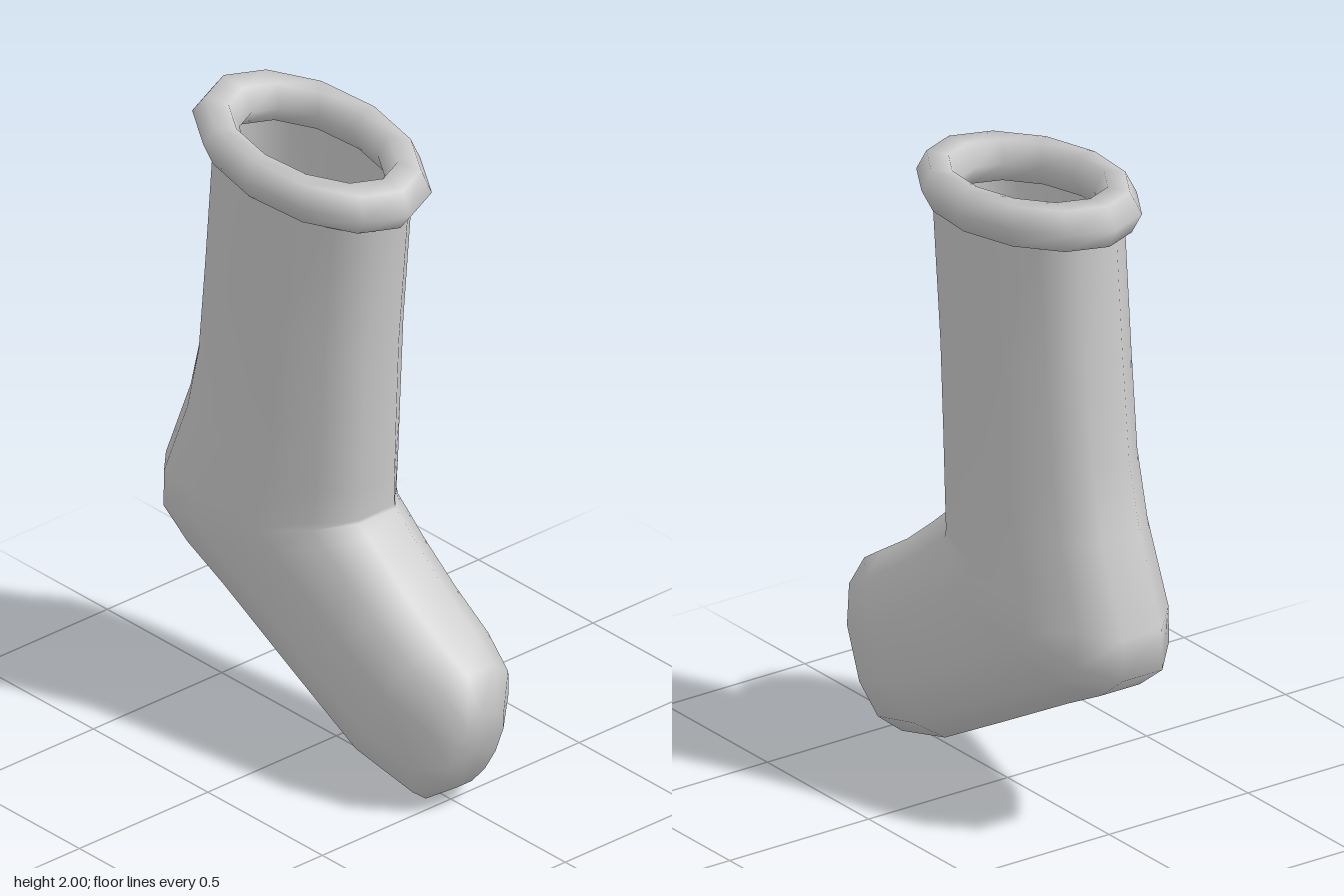
import * as THREE from 'three';

const SIDES = 12;

// Cross-sections from the opening to the toe: [front z, front y, back z, back y, half width]
const SECTIONS = [
  [0.245, 1.88, -0.443, 1.93, 0.2],
  [0.2, 1.38, -0.478, 1.5, 0.2],
  [0.188, 1.1, -0.51, 1.18, 0.2],
  [0.18, 0.92, -0.56, 0.97, 0.205],
  [0.176, 0.825, -0.665, 0.7, 0.215],
  [0.18, 0.815, -0.665, 0.57, 0.218],
  [0.22, 0.785, -0.555, 0.485, 0.215],
  [0.28, 0.735, -0.39, 0.4, 0.208],
  [0.4, 0.64, -0.05, 0.215, 0.203],
  [0.53, 0.557, 0.22, 0.07, 0.198],
  [0.635, 0.49, 0.45, 0.005, 0.16],
  [0.665, 0.355, 0.56, 0.08, 0.09],
];

// Rounded-oval coordinate that still reaches exactly +-1 with flat ends
function oval(v) {
  return Math.sign(v) * Math.pow(Math.abs(v) / Math.cos(Math.PI / SIDES), 0.85);
}

// Skin a smooth tube through the sections and close the toe
function sockGeometry() {
  const positions = [];
  const indices = [];
  for (const [fz, fy, bz, by, w] of SECTIONS) {
    for (let i = 0; i < SIDES; i++) {
      const a = ((i + 0.5) / SIDES) * Math.PI * 2;
      const c = oval(Math.cos(a));
      positions.push(
        w * oval(Math.sin(a)),
        (fy + by) / 2 + ((fy - by) / 2) * c,
        (fz + bz) / 2 + ((fz - bz) / 2) * c
      );
    }
  }
  for (let r = 0; r < SECTIONS.length - 1; r++) {
    for (let i = 0; i < SIDES; i++) {
      const j = (i + 1) % SIDES;
      const a = r * SIDES + i, b = r * SIDES + j;
      indices.push(a, a + SIDES, b, b, a + SIDES, b + SIDES);
    }
  }
  // toe cap
  const [fz, fy, bz, by] = SECTIONS[SECTIONS.length - 1];
  const tip = positions.length / 3;
  const last = tip - SIDES;
  positions.push(0, (fy + by) / 2, (fz + bz) / 2);
  for (let i = 0; i < SIDES; i++) indices.push(last + i, tip, last + ((i + 1) % SIDES));

  const geometry = new THREE.BufferGeometry();
  geometry.setAttribute('position', new THREE.Float32BufferAttribute(positions, 3));
  geometry.setIndex(indices);
  geometry.computeVertexNormals();
  return geometry;
}

export function createModel() {
  const group = new THREE.Group();
  group.name = 'sock';

  // leg, heel and foot in one open skin
  const body = new THREE.Mesh(
    sockGeometry(),
    new THREE.MeshStandardMaterial({ color: 0xcccccc, side: THREE.DoubleSide })
  );
  body.name = 'sockBody';
  group.add(body);

  // rolled oval cuff, tipped down towards the front
  const rim = new THREE.TorusGeometry(1, 0.245, 6, SIDES);
  rim.scale(0.2125, 0.349, 0.298);
  rim.rotateX(Math.PI / 2 + 0.075);
  const cuff = new THREE.Mesh(rim, new THREE.MeshStandardMaterial({ color: 0xcccccc }));
  cuff.name = 'cuff';
  cuff.position.set(0, 1.911, -0.106);
  group.add(cuff);

  return group;
}
